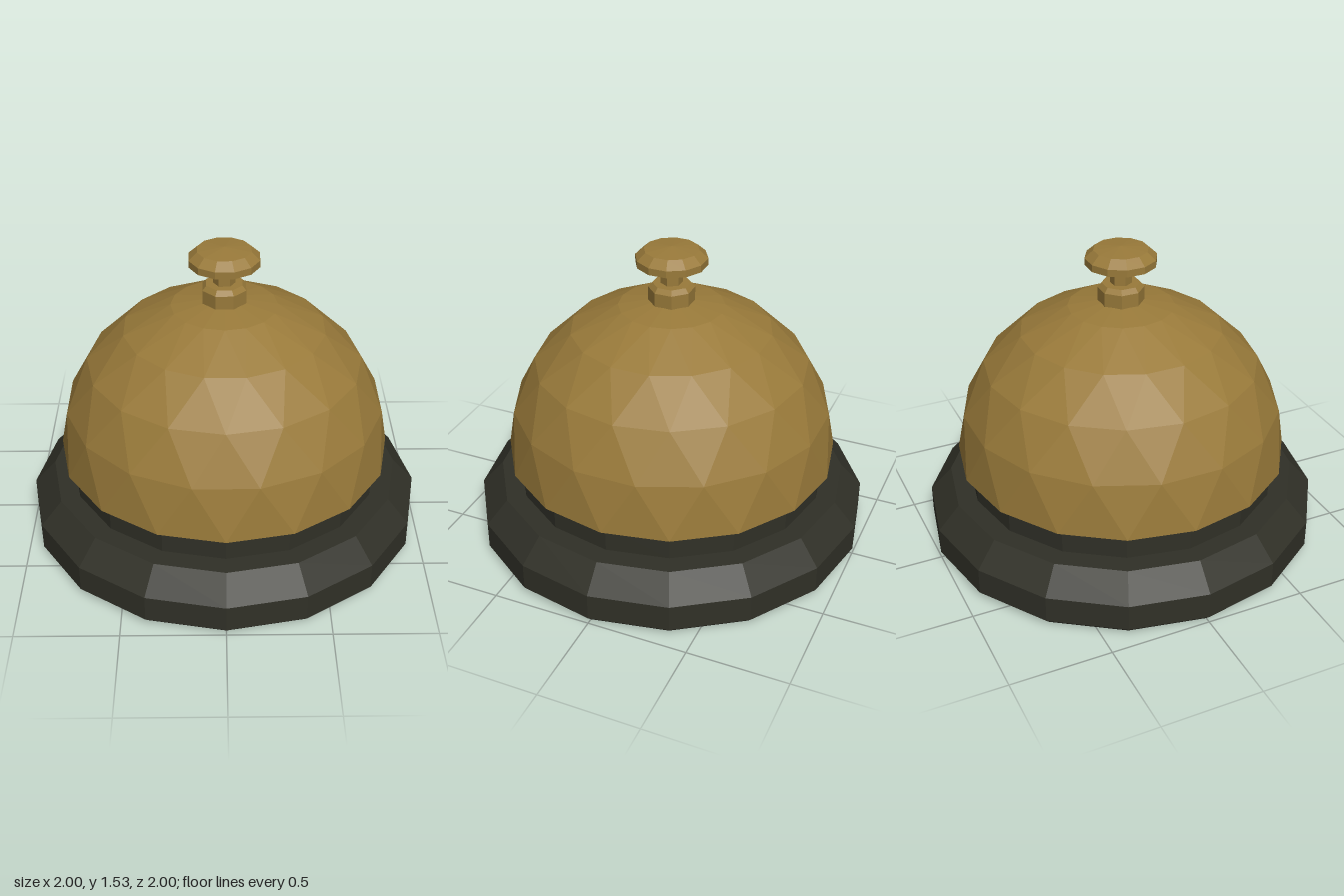
import * as THREE from 'three';

const brass = new THREE.MeshStandardMaterial({ name: 'brass', color: 0x997a3a, flatShading: true });
const darkBase = new THREE.MeshStandardMaterial({ name: 'dark olive', color: 0x303027, flatShading: true });

// Faceted turned part: profile of [radius, y] running from bottom to top
function turned(name, profile, sides, material, halfStep = false) {
  const points = profile.map(([r, y]) => new THREE.Vector2(r, y));
  const geometry = new THREE.LatheGeometry(points, sides, halfStep ? Math.PI / sides : 0).toNonIndexed();
  geometry.computeVertexNormals();
  const mesh = new THREE.Mesh(geometry, material);
  mesh.name = name;
  return mesh;
}

// Dome of triangle strips; every other ring is turned by half a step
function domeGeometry(rings, sides) {
  const positions = [];
  const corner = (k, i) => {
    const [r, y] = rings[k];
    const a = ((i + (k % 2) / 2) / sides) * Math.PI * 2;
    return [r * Math.sin(a), y, r * Math.cos(a)];
  };
  for (let k = 0; k < rings.length - 1; k++) {
    for (let i = 0; i < sides; i++) {
      const shift = k % 2; // keeps the upper corner midway between the lower two
      positions.push(...corner(k, i), ...corner(k, i + 1), ...corner(k + 1, i + shift));
      positions.push(...corner(k + 1, i + shift), ...corner(k, i + 1), ...corner(k + 1, i + 1 + shift));
    }
  }
  // shallow cap
  const top = rings.length - 1;
  for (let i = 0; i < sides; i++) positions.push(...corner(top, i), ...corner(top, i + 1), 0, 1.265, 0);
  const geometry = new THREE.BufferGeometry();
  geometry.setAttribute('position', new THREE.Float32BufferAttribute(positions, 3));
  geometry.computeVertexNormals();
  return geometry;
}

export function createModel() {
  const bell = new THREE.Group();
  bell.name = 'deskBell';

  // Stepped base with the neck that carries the dome
  bell.add(turned('base', [
    [0, 0], [0.97, 0], [1, 0.03], [1, 0.165], [0.89, 0.285], [0.79, 0.285], [0.79, 0.42],
  ], 16, darkBase));

  // Underside closing the dome around the neck
  bell.add(turned('domeUnderside', [[0.78, 0.42], [0.838, 0.42]], 16, darkBase));

  const dome = new THREE.Mesh(domeGeometry([
    [0.84, 0.422], [0.8, 0.69], [0.685, 0.92], [0.5, 1.1], [0.262, 1.22],
  ], 16), brass);
  dome.name = 'dome';
  bell.add(dome);

  // Octagonal collar, hexagonal stem and push button
  bell.add(turned('collar', [[0.114, 1.23], [0.114, 1.315], [0.094, 1.338], [0, 1.338]], 8, brass, true));
  const stem = turned('stem', [[0.054, 1.32], [0.054, 1.45]], 6, brass);
  stem.rotation.y = Math.PI / 2;
  bell.add(stem);
  bell.add(turned('button', [
    [0, 1.44], [0.176, 1.44], [0.176, 1.475], [0.134, 1.513], [0, 1.526],
  ], 12, brass, true));

  return bell;
}
